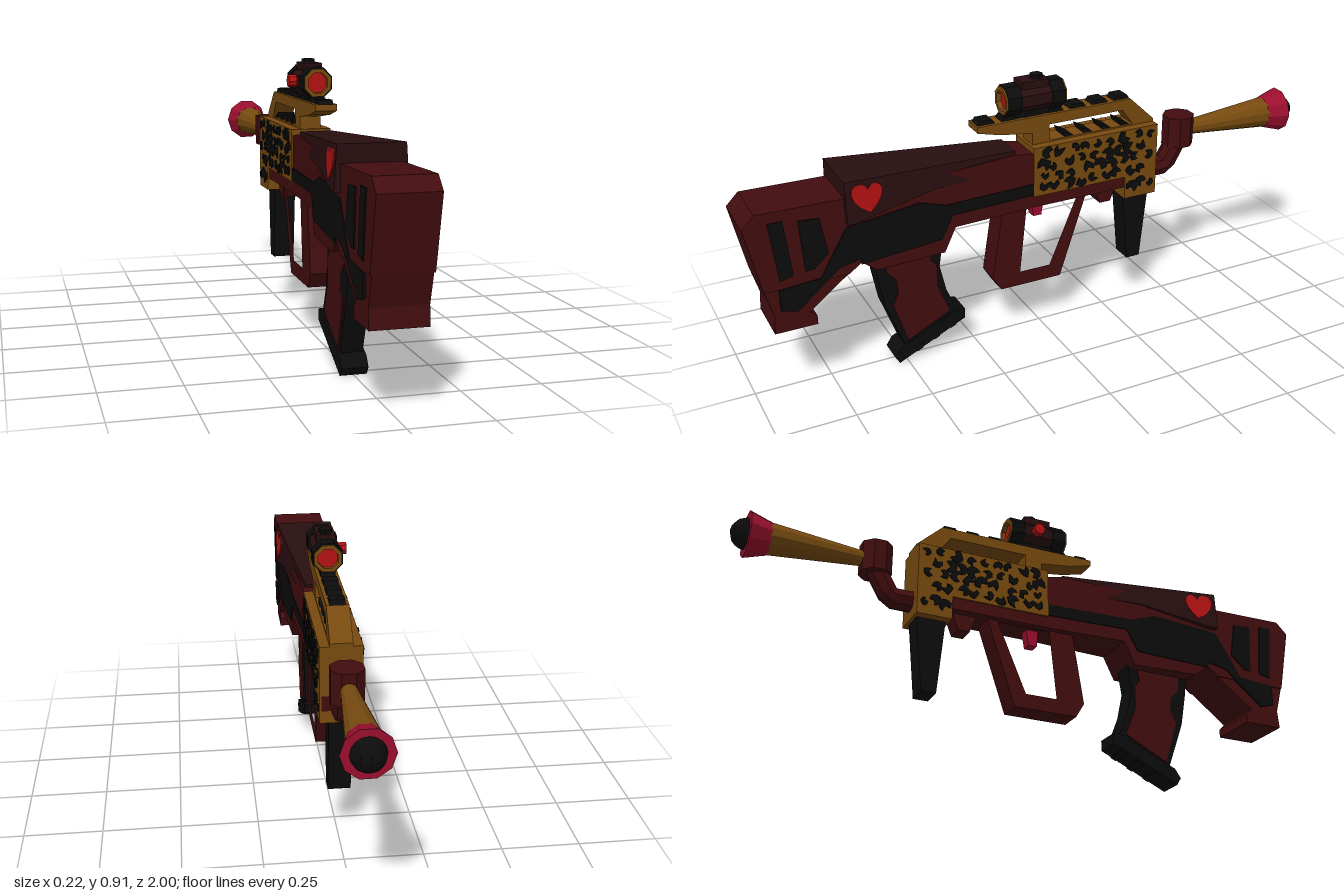
import * as THREE from 'three';
import { mergeGeometries } from 'three/addons/utils/BufferGeometryUtils.js';

const mat = (name, color) => {
  const m = new THREE.MeshStandardMaterial({ color, flatShading: true });
  m.name = name;
  return m;
};

export function createModel() {
  const gold = mat('gold', 0x774a10), darkRed = mat('dark red', 0x420d0f), maroon = mat('maroon', 0x290e10);
  const black = mat('black', 0x0c0c0c), red = mat('red', 0xb51212), pink = mat('pink', 0x9a0f2e);
  const model = new THREE.Group();

  const add = (name, geometry, material, x = 0, y = 0, z = 0) => {
    const mesh = new THREE.Mesh(geometry, material);
    mesh.name = name;
    mesh.position.set(x, y, z);
    model.add(mesh);
    return mesh;
  };
  const points = list => list.map(([z, y]) => new THREE.Vector2(z, y));

  // Side outline in (z, y), extruded across x
  const extrudeSide = (profile, hole, half) => {
    const shape = profile instanceof THREE.Shape ? profile : new THREE.Shape(points(profile));
    if (hole) shape.holes.push(new THREE.Path(points(hole)));
    return new THREE.ExtrudeGeometry(shape, { depth: 2 * half, bevelEnabled: false, curveSegments: 6 })
      .rotateY(-Math.PI / 2).translate(half, 0, 0);
  };
  const moveX = (geo, rule) => {
    const p = geo.attributes.position;
    for (let i = 0; i < p.count; i++) p.setX(i, rule(p.getX(i), p.getY(i), p.getZ(i)));
    geo.computeVertexNormals();
    return geo;
  };
  // Solid slab whose half width may vary with y and z
  const slab = (name, profile, width, material, hole) => {
    const w = typeof width === 'function' ? width : () => width;
    add(name, moveX(extrudeSide(profile, hole, 1), (x, y, z) => x * w(y, z)), material);
  };
  // Thin painted plates lying on both sides of a slab
  const plates = (name, profiles, width, material) => {
    const w = typeof width === 'function' ? width : () => width;
    for (const s of [-1, 1]) {
      const parts = profiles.map(p => moveX(extrudeSide(p, null, 0.004), (x, y, z) => x + s * w(y, z)));
      add(name, mergeGeometries(parts), material);
    }
  };

  // Stock
  const midWidth = (y, z) => 0.06 + (z - 0.05) * 0.05;
  slab('butt', [[0.65, 0.655], [0.96, 0.66], [1, 0.62], [0.955, 0.4], [0.69, 0.4], [0.65, 0.43]], 0.09, darkRed);
  slab('buttToe', [[0.955, 0.4], [0.93, 0.31], [0.935, 0.25], [0.8, 0.25], [0.8, 0.28], [0.82, 0.3], [0.69, 0.4]], 0.085, darkRed);
  slab('stockBody', [[0.65, 0.655], [0.65, 0.43], [0.6, 0.39], [0.37, 0.39], [0.33, 0.47], [0.05, 0.47], [0.05, 0.66], [0.11, 0.67]],
    midWidth, darkRed);
  slab('lowerReceiver', [[0.05, 0.52], [-0.41, 0.52], [-0.41, 0.47], [0.05, 0.47]], 0.06, darkRed);
  plates('buttSlot', [
    [[0.925, 0.625], [0.88, 0.625], [0.862, 0.44], [0.905, 0.43]],
    [[0.835, 0.615], [0.77, 0.61], [0.75, 0.49], [0.8, 0.445], [0.825, 0.445]],
  ], 0.09, black);
  plates('buttStripe', [[[0.91, 0.4], [0.78, 0.41], [0.69, 0.56], [0.65, 0.565], [0.65, 0.445], [0.72, 0.43], [0.86, 0.315], [0.91, 0.33]]],
    0.09, black);
  plates('bodyStripe', [[[0.65, 0.565], [0.45, 0.585], [0.36, 0.555], [0.05, 0.555], [0.05, 0.515], [0.34, 0.515], [0.38, 0.44], [0.65, 0.425]]],
    midWidth, black);

  // Cheek cover with a heart on each side
  const coverWidth = (y, z) => 0.06 + (z - 0.11) * 0.0862 - (y - 0.58) * 0.07;
  slab('cheekCover', [[0.69, 0.71], [0.11, 0.68], [0.11, 0.62], [0.4, 0.62], [0.66, 0.575], [0.69, 0.575]], coverWidth, maroon);
  const heart = new THREE.Shape();
  heart.moveTo(0.615, 0.6);
  heart.bezierCurveTo(0.69, 0.64, 0.68, 0.7, 0.645, 0.695);
  heart.quadraticCurveTo(0.625, 0.695, 0.617, 0.675);
  heart.quadraticCurveTo(0.605, 0.695, 0.59, 0.69);
  heart.bezierCurveTo(0.56, 0.68, 0.565, 0.64, 0.615, 0.6);
  plates('heart', [heart], coverWidth, red);

  // Receiver and carry handle
  slab('receiver', [[0.05, 0.51], [0.05, 0.68], [-0.41, 0.68], [-0.41, 0.43], [-0.29, 0.43], [-0.29, 0.51]], 0.066, gold);
  slab('carryHandle', [[0.23, 0.755], [0.15, 0.735], [0.04, 0.72], [0.04, 0.67], [-0.41, 0.67], [-0.41, 0.69], [-0.32, 0.775], [0.23, 0.775]],
    0.035, gold, [[-0.02, 0.685], [-0.02, 0.74], [-0.29, 0.74], [-0.33, 0.685]]);
  for (let i = 0; i < 7; i++) {
    const z = 0.195 - i * 0.081;
    slab('railTooth', [[z + 0.03, 0.774], [z + 0.02, 0.788], [z - 0.02, 0.788], [z - 0.03, 0.774]], 0.024, black);
  }
  for (let i = 0; i < 4; i++) {
    const z = -0.07 - i * 0.07;
    slab('ventTooth', [[z, 0.705], [z - 0.05, 0.68], [z - 0.01, 0.68]], 0.03, black);
  }

  // Leopard spots: jittered open blotches
  let seed = 7;
  const rand = () => (seed = (seed * 16807) % 2147483647) / 2147483647;
  const spots = [];
  const addSpot = (z, y) => {
    const turn = rand() * 6.28, size = 0.015 + rand() * 0.008, outline = [];
    for (let k = 0; k < 8; k++) {
      const a = turn + k * Math.PI / 4, r = size * (k === 0 ? 0.1 : 0.75 + rand() * 0.45);
      outline.push([z + Math.cos(a) * r, y + Math.sin(a) * r]);
    }
    spots.push(outline);
  };
  for (let row = 0; row < 4; row++)
    for (let col = 0; col < 9; col++)
      addSpot(0.022 - col * 0.047 - (row % 2) * 0.02 + (rand() - 0.5) * 0.018, 0.537 + row * 0.039 + (rand() - 0.5) * 0.014);
  for (const z of [-0.315, -0.35, -0.385]) addSpot(z, 0.475 + (rand() - 0.5) * 0.04);
  plates('leopardSpots', spots, 0.0665, black);

  // Grip loop, trigger and fore grip
  slab('gripLoop', [[0.15, 0.48], [0.19, 0.23], [0.16, 0.18], [-0.06, 0.18], [-0.16, 0.48]], 0.04, darkRed,
    [[0.065, 0.465], [0.09, 0.23], [-0.02, 0.23], [-0.12, 0.465]]);
  slab('trigger', [[0.035, 0.48], [0.03, 0.415], [0, 0.415], [-0.01, 0.48]], 0.018, pink);
  slab('underNub', [[-0.19, 0.48], [-0.215, 0.415], [-0.255, 0.415], [-0.28, 0.48]], 0.03, darkRed);
  slab('foreGrip', [[-0.3, 0.44], [-0.325, 0.18], [-0.375, 0.18], [-0.4, 0.44]], 0.036, black);

  // Curved magazine
  slab('magazine', [[0.595, 0.42], [0.585, 0.33], [0.565, 0.22], [0.5, 0.04], [0.315, 0.13], [0.355, 0.23], [0.375, 0.32], [0.36, 0.42]], 0.035, black);
  plates('magazinePanel', [[[0.56, 0.4], [0.395, 0.4], [0.405, 0.35], [0.385, 0.33], [0.385, 0.25], [0.345, 0.15], [0.495, 0.075], [0.54, 0.22],
    [0.52, 0.26], [0.525, 0.31], [0.555, 0.34]]], 0.035, darkRed);
  slab('magazineBase', [[0.545, 0.025], [0.53, 0], [0.295, 0.11], [0.295, 0.145], [0.31, 0.15], [0.525, 0.055]], 0.042, black);
  for (let i = 0; i < 3; i++) add('baseRib', new THREE.BoxGeometry(0.08, 0.02, 0.022), black, 0, 0.039 + i * 0.028, 0.46 - i * 0.06).rotation.x = 0.44;

  // Optical sight
  const octagon = (r) => Array.from({ length: 8 }, (_, i) => {
    const a = (i + 0.5) * Math.PI / 4;
    return new THREE.Vector2(Math.cos(a) * r, Math.sin(a) * r);
  });
  const ring = (name, outer, inner, z0, z1, material) => {
    const shape = new THREE.Shape(octagon(outer));
    shape.holes.push(new THREE.Path(octagon(inner)));
    add(name, new THREE.ExtrudeGeometry(shape, { depth: z1 - z0, bevelEnabled: false }), material, 0, 0.835, z0);
  };
  const tubeZ = (rBack, rFront, length, sides) =>
    new THREE.CylinderGeometry(rFront, rBack, length, sides).rotateY(Math.PI / sides).rotateX(Math.PI / 2);
  add('sightBody', tubeZ(0.047, 0.047, 0.17, 8), maroon, 0, 0.835, 0.027);
  ring('sightShell', 0.052, 0.045, 0.08, 0.128, black);
  ring('sightShell', 0.052, 0.045, -0.072, -0.026, black);
  ring('sightRim', 0.047, 0.034, 0.1, 0.134, gold);
  ring('sightRim', 0.047, 0.034, -0.078, -0.05, gold);
  for (const z of [0.114, -0.06]) add('lens', tubeZ(0.034, 0.034, 0.008, 12), red, 0, 0.835, z);
  add('sightTop', new THREE.BoxGeometry(0.06, 0.025, 0.095), maroon, 0, 0.882, 0.027);
  add('sightTurret', new THREE.CylinderGeometry(0.022, 0.022, 0.02, 8), black, 0, 0.896, 0.01);
  add('sightKnob', new THREE.CylinderGeometry(0.02, 0.02, 0.03, 8).rotateZ(Math.PI / 2), red, -0.054, 0.835, 0.02);
  add('sightMount', new THREE.BoxGeometry(0.044, 0.04, 0.13), black, 0, 0.788, 0.027);

  // Elbow pipe and cup
  const elbow = new THREE.CurvePath();
  const bend = [[-0.4, 0.495], [-0.48, 0.495], [-0.535, 0.59]].map(([z, y]) => new THREE.Vector3(0, y, z));
  for (let i = 0; i < 2; i++) elbow.add(new THREE.LineCurve3(bend[i], bend[i + 1]));
  add('elbowPipe', new THREE.TubeGeometry(elbow, 8, 0.036, 8), darkRed);
  add('elbowCup', new THREE.CylinderGeometry(0.054, 0.054, 0.105, 8).rotateY(Math.PI / 8), darkRed, 0, 0.617, -0.533);

  // Flared horn barrel with a dark tip
  add('hornBarrel', tubeZ(0.054, 0.025, 0.32, 12), gold, 0, 0.615, -0.73);
  add('hornFlare', tubeZ(0.076, 0.054, 0.07, 10), pink, 0, 0.615, -0.915);
  add('hornTip', new THREE.SphereGeometry(0.052, 12, 8).scale(1, 1, 1.1), black, 0, 0.615, -0.943);

  return model;
}
